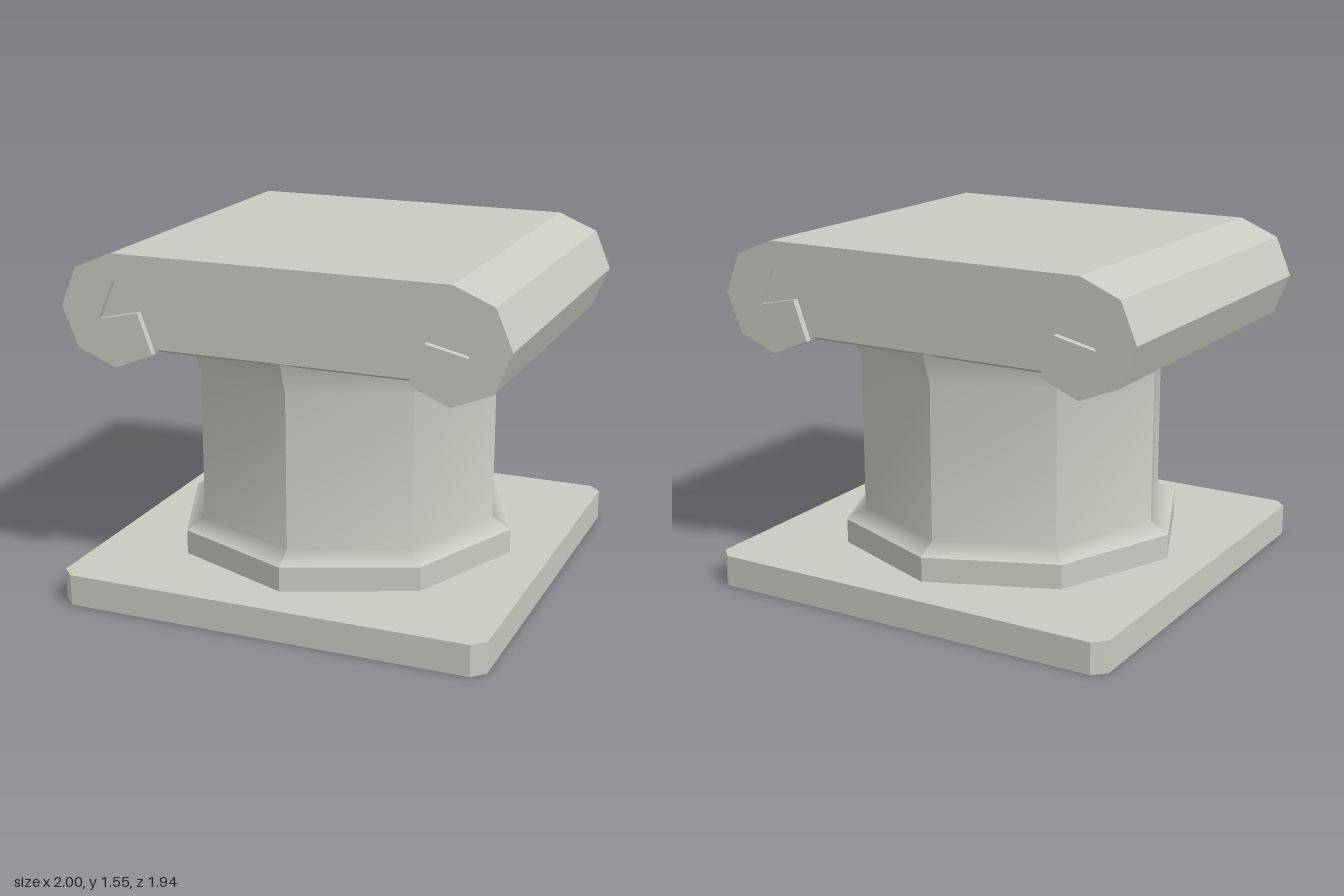
import * as THREE from 'three';
import { mergeGeometries } from 'three/addons/utils/BufferGeometryUtils.js';

const stone = new THREE.MeshStandardMaterial({ color: 0xc8cbc1 });
stone.name = 'pale stone';

function part(name, geometry) {
  const mesh = new THREE.Mesh(geometry, stone);
  mesh.name = name;
  return mesh;
}

// Prism along z, starting at z0
function prism(points, z0, depth) {
  const shape = new THREE.Shape(points.map(([x, y]) => new THREE.Vector2(x, y)));
  const geometry = new THREE.ExtrudeGeometry(shape, { depth, bevelEnabled: false });
  return geometry.translate(0, 0, z0);
}

// Closes a half outline (x > 0) by mirroring it across x = 0
function mirrored(half) {
  return [...half, ...half.map(([x, y]) => [-x, y]).reverse()];
}

// Eight-sided shaft: sharp between sides, smooth up each side
function octagonShaft(profile) {
  const sides = [];
  for (let i = 0; i < 8; i++) {
    const a = (i * Math.PI) / 4, b = a + Math.PI / 4;
    const positions = [], index = [];
    profile.forEach(([r, y], j) => {
      positions.push(r * Math.sin(a), y, r * Math.cos(a), r * Math.sin(b), y, r * Math.cos(b));
      if (j) {
        const k = 2 * j - 2;
        index.push(k, k + 1, k + 3, k, k + 3, k + 2);
      }
    });
    const side = new THREE.BufferGeometry();
    side.setAttribute('position', new THREE.Float32BufferAttribute(positions, 3));
    side.setIndex(index);
    side.computeVertexNormals();
    sides.push(side);
  }
  return mergeGeometries(sides);
}

export function createModel() {
  const model = new THREE.Group();
  model.name = 'column';

  // Square plinth with clipped corners
  const h = 0.97, c = 0.915;
  const plinth = prism(mirrored([[c, -h], [h, -c], [h, c], [c, h]]), 0, 0.14);
  model.add(part('plinth', plinth.rotateX(-Math.PI / 2)));

  // Octagonal foot and shaft with flared ends
  const foot = new THREE.CylinderGeometry(0.785, 0.785, 0.11, 8).toNonIndexed();
  foot.computeVertexNormals();
  model.add(part('foot', foot.translate(0, 0.195, 0)));
  model.add(part('shaft', octagonShaft([[0.785, 0.25], [0.7, 0.3], [0.7, 1.0], [0.75, 1.135]])));

  // Capital core with a scroll on each side
  const capital = new THREE.Group();
  capital.name = 'capital';
  const half = 0.785, recess = 0.03, face = half - recess;
  const scroll = [[0.573, 1.123], [0.75, 1.05], [0.927, 1.123], [1, 1.3], [0.927, 1.473], [0.75, 1.547]];
  capital.add(part('capitalCore', prism(mirrored([[0.567, 1.14], ...scroll]), -face, 2 * face)));

  // Raised rim on both ends, framing the sunken panel and scroll grooves
  const groove = [[0.6, 1.473], [0.75, 1.43], [0.825, 1.258], [0.637, 1.3]];
  const rim = [...mirrored(scroll), ...mirrored(groove.slice().reverse()).map(([x, y]) => [-x, y])];
  capital.add(part('frontRim', prism(rim, face, recess)));
  capital.add(part('backRim', prism(rim, -half, recess)));

  // Shallow underside, tapering inward
  const underside = new THREE.BoxGeometry(1.15, 0.02, 2 * face).translate(0, 1.131, 0).toNonIndexed();
  const p = underside.attributes.position;
  for (let i = 0; i < p.count; i++) if (p.getY(i) < 1.13) p.setZ(i, Math.sign(p.getZ(i)) * 0.715);
  underside.computeVertexNormals();
  capital.add(part('underside', underside));

  model.add(capital);
  return model;
}
